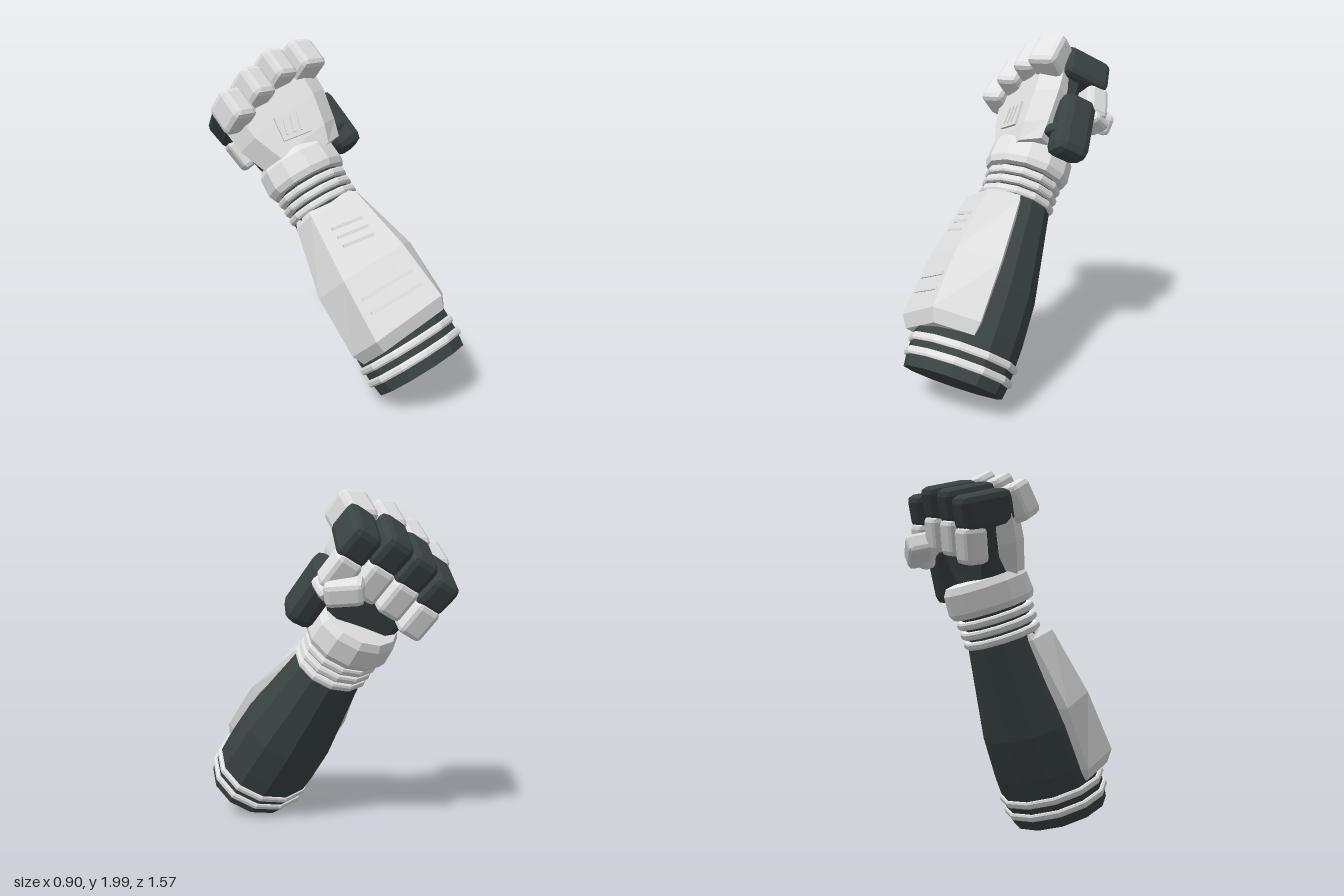
import * as THREE from 'three';
import { RoundedBoxGeometry } from 'three/addons/geometries/RoundedBoxGeometry.js';

const light = new THREE.MeshStandardMaterial({ color: 0xe2e2e2 });
light.name = 'light grey plating';
const dark = new THREE.MeshStandardMaterial({ color: 0x3b4343 });
dark.name = 'dark slate';

// Give every face its own flat normal
function faceted(geometry) {
  const g = geometry.index ? geometry.toNonIndexed() : geometry;
  g.deleteAttribute('normal');
  g.computeVertexNormals();
  return g;
}

function add(parent, name, geometry, material, position = [0, 0, 0], rotation = [0, 0, 0]) {
  const mesh = new THREE.Mesh(faceted(geometry), material);
  mesh.name = name;
  mesh.position.set(...position);
  mesh.rotation.set(...rotation);
  parent.add(mesh);
  return mesh;
}

// Box with chamfered edges
const block = (w, h, d, chamfer = 0.03) => new RoundedBoxGeometry(w, h, d, 1, chamfer);

// Twelve-sided turned shape, slightly flattened front to back
function turned(profile) {
  const g = new THREE.LatheGeometry(profile.map(([r, y]) => new THREE.Vector2(r, y)), 12);
  return g.scale(1, 1, 0.9);
}

// Skin over matching cross-sections: [height, [[x, z], ...], slope across x], upwards
function loft(sections) {
  const pos = [];
  const idx = [];
  const n = sections[0][1].length;
  for (const [y, pts, slope = 0] of sections) for (const [x, z] of pts) pos.push(x, y + slope * x, z);
  for (let s = 0; s < sections.length - 1; s++) {
    for (let i = 0; i < n; i++) {
      const a = s * n + i, b = s * n + (i + 1) % n;
      idx.push(a, b, b + n, a, b + n, a + n);
    }
  }
  const top = (sections.length - 1) * n;
  for (let i = 1; i < n - 1; i++) idx.push(0, i + 1, i, top, top + i, top + i + 1);
  const g = new THREE.BufferGeometry();
  g.setAttribute('position', new THREE.Float32BufferAttribute(pos, 3));
  g.setIndex(idx);
  return g;
}

// Rotation whose local y follows "along" and whose z is as near "outward" as possible
function facing(along, outward) {
  const y = new THREE.Vector3(...along).normalize();
  const x = new THREE.Vector3().crossVectors(y, new THREE.Vector3(...outward)).normalize();
  const z = new THREE.Vector3().crossVectors(x, y);
  return new THREE.Quaternion().setFromRotationMatrix(new THREE.Matrix4().makeBasis(x, y, z));
}

function buildForearm() {
  const arm = new THREE.Group();
  arm.name = 'forearm';
  arm.position.set(0.133, 0.18, 0.57);
  arm.quaternion.copy(facing([-0.104, 0.781, -0.616], [0, 0.619, 0.785]));
  add(arm, 'forearmSleeve', turned([
    [0, 0], [0.298, 0], [0.31, 0.08], [0.315, 0.3], [0.305, 0.55], [0.215, 1.1],
    [0.2, 1.14], [0.2, 1.32], [0, 1.32],
  ]), dark);

  // Elbow rings and wrist rings
  const rings = [[0.085, 0.328], [0.165, 0.33], [1.112, 0.236], [1.172, 0.236], [1.232, 0.238]];
  for (const [s, r] of rings) {
    add(arm, 'ring', turned([
      [r - 0.05, s - 0.024], [r - 0.008, s - 0.021], [r, s - 0.01],
      [r, s + 0.01], [r - 0.008, s + 0.021], [r - 0.05, s + 0.024],
    ]), light);
  }

  // Wrist cuff
  add(arm, 'wristCuff', turned([
    [0.18, 1.27], [0.248, 1.275], [0.264, 1.31], [0.256, 1.42], [0.23, 1.46], [0, 1.47],
  ]), light);

  // Armour plate, turned towards the back of the hand
  const armour = new THREE.Group();
  armour.name = 'armour';
  armour.position.x = -0.01;
  armour.rotation.y = -Math.PI / 6;
  arm.add(armour);
  const rib = (s, side, sideZ, face, faceZ, slope) => [s, [
    [-side * 0.85, sideZ - 0.03], [-side, sideZ], [-face, faceZ],
    [face, faceZ], [side, sideZ], [side * 0.85, sideZ - 0.03],
  ], slope];
  add(armour, 'armourPlate', loft([
    rib(0.22, 0.29, 0.08, 0.205, 0.285, 0.07),
    rib(0.29, 0.325, 0.085, 0.225, 0.33, 0.07),
    rib(0.65, 0.32, 0.085, 0.2, 0.308, 0.03),
    rib(1.055, 0.218, 0.06, 0.15, 0.237, 0),
    rib(1.09, 0.2, 0.06, 0.135, 0.17, 0),
  ]), light);

  // Raised slats on the armour
  for (const s of [0.8, 0.858, 0.916]) {
    add(armour, 'shortSlat', new THREE.BoxGeometry(0.19, 0.018, 0.016), light,
      [0, s, 0.308 - (s - 0.65) * 0.175], [0.18, 0, -0.13]);
  }
  for (const s of [0.415, 0.505]) {
    add(armour, 'longSlat', new THREE.BoxGeometry(0.33, 0.018, 0.016), light,
      [0, s, 0.33 - (s - 0.29) * 0.06], [0.05, 0, 0]);
  }
  return arm;
}

function buildHand() {
  const hand = new THREE.Group();
  hand.name = 'hand';
  hand.position.set(-0.153, 1.763, -0.415);
  hand.quaternion.copy(facing([-0.308, 0.739, -0.6], [-0.45, 0.437, 0.77]));

  // Plate over the back of the hand, dark palm beneath it
  const shell = (y, left, right, top) => [y, [
    [left + 0.04, -0.18], [left, -0.09], [left + 0.09, top], [right - 0.11, top], [right, -0.08], [right - 0.03, -0.15],
  ]];
  add(hand, 'backPlate', loft([
    shell(-0.5, -0.33, 0.17, 0.0),
    shell(-0.4, -0.32, 0.22, 0.015),
    shell(-0.22, -0.36, 0.29, 0.015),
    shell(-0.06, -0.35, 0.32, 0.01),
  ]), light);
  const core = (y, left, right, depth) => [y, [
    [left, -0.12], [right, -0.12], [right, -depth + 0.05], [right - 0.06, -depth], [left + 0.06, -depth], [left, -depth + 0.05],
  ]];
  add(hand, 'palm', loft([
    core(-0.52, -0.24, 0.05, 0.28), core(-0.38, -0.3, 0.2, 0.27), core(-0.05, -0.32, 0.31, 0.25),
  ]), dark);

  // Badge panel with three slats
  const panel = new THREE.Group();
  panel.name = 'badgePanel';
  panel.position.set(-0.045, -0.29, 0.015);
  panel.rotation.z = -0.28;
  hand.add(panel);
  add(panel, 'panelBase', new THREE.BoxGeometry(0.18, 0.15, 0.03), light);
  for (const x of [-0.045, 0, 0.045]) {
    add(panel, 'panelSlat', new THREE.BoxGeometry(0.018, 0.1, 0.02), light, [x, 0, 0.013], [0, 0, -0.2]);
  }

  // Four curled fingers, little to index, with upright knuckle blocks
  const upright = hand.quaternion.clone().invert().multiply(facing([-0.05, 0.69, -0.72], [0, 0.72, 0.69]));
  [[-0.264, -0.02, 0.007], [-0.089, 0.014, 0.01], [0.089, 0.026, 0], [0.264, -0.02, -0.013]].forEach(([x, y, z], i) => {
    const finger = new THREE.Group();
    finger.name = ['littleFinger', 'ringFinger', 'middleFinger', 'indexFinger'][i];
    finger.position.set(x, y, z);
    hand.add(finger);
    add(finger, 'knuckle', block(i === 3 ? 0.185 : 0.155, 0.21, 0.195, 0.035), light).quaternion.copy(upright);
    add(finger, 'middleSegment', block(0.172, 0.195, 0.31, 0.04), dark, [0, -0.003, -0.217]);
    add(finger, 'fingertip', block(0.15, 0.2, 0.14), light, [-0.01, -0.175, -0.325], [0.1, 0, 0]);
  });

  // Thumb folded along the side of the fist
  const thumb = new THREE.Group();
  thumb.name = 'thumb';
  hand.add(thumb);
  add(thumb, 'thumbRoot', block(0.2, 0.06, 0.09, 0.02), dark, [0.17, -0.44, -0.12], [0, 0.4, 0]);
  add(thumb, 'thumbSegment', block(0.17, 0.38, 0.22, 0.055), dark, [0.245, -0.405, -0.225], [0, 0, -0.08]);
  add(thumb, 'thumbJoint', block(0.13, 0.13, 0.14), light, [0.25, -0.285, -0.36], [0, 0.4, 0.3]);
  add(thumb, 'thumbTip', block(0.2, 0.13, 0.15), light, [0.2, -0.235, -0.42], [0, -0.2, -0.75]);
  return hand;
}

export function createModel() {
  const model = new THREE.Group();
  model.name = 'armouredFist';
  model.add(buildForearm(), buildHand());
  return model;
}
